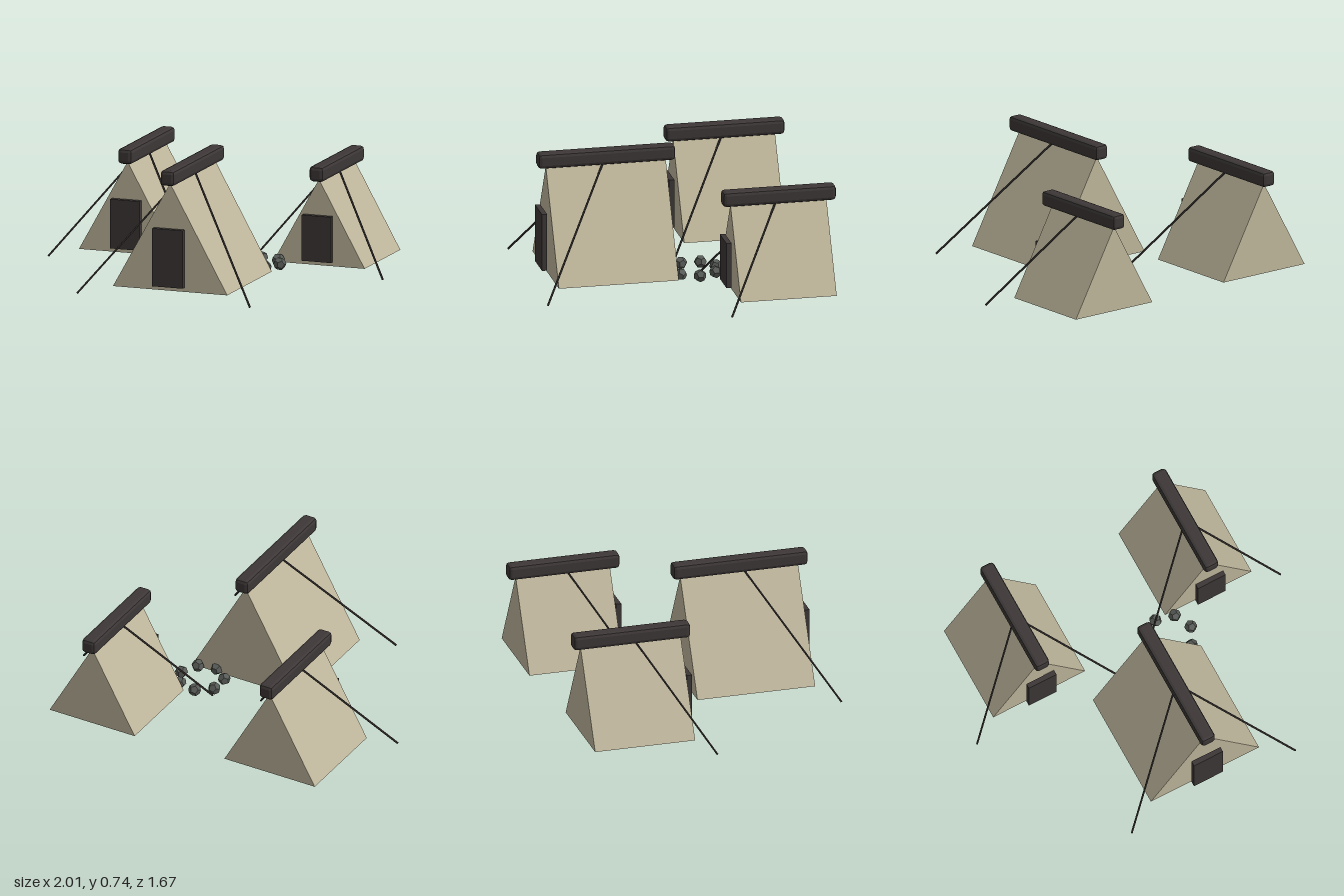
import * as THREE from 'three';
import { RoundedBoxGeometry } from 'three/addons/geometries/RoundedBoxGeometry.js';

const material = (name, color) => {
  const m = new THREE.MeshStandardMaterial({ color, flatShading: true });
  m.name = name;
  return m;
};

export function createModel() {
  const canvas = material('canvas', 0xbfb79c);
  const darkWood = material('dark wood', 0x3d3737);
  const stone = material('stone', 0x575b57);
  const model = new THREE.Group();
  model.name = 'camp';

  const add = (parent, name, geometry, mat, x = 0, y = 0, z = 0) => {
    const mesh = new THREE.Mesh(geometry, mat);
    mesh.name = name;
    mesh.position.set(x, y, z);
    parent.add(mesh);
    return mesh;
  };

  const floor = 0.04;

  function tent(name, x, z, s, doorWidth, doorHeight) {
    const group = new THREE.Group();
    group.name = name;
    group.position.set(x, 0, z);
    model.add(group);

    const half = 0.347 * s;
    const apex = floor + 0.62 * s;
    const ridgeY = apex + 0.037;

    // Closed triangular canvas body
    const shape = new THREE.Shape();
    shape.moveTo(-half, floor);
    shape.lineTo(half, floor);
    shape.lineTo(0, apex);
    shape.closePath();
    const body = new THREE.ExtrudeGeometry(shape, { depth: 2 * half, bevelEnabled: false });
    add(group, 'canvasBody', body, canvas, 0, 0, -half);

    // Chamfered ridge beam
    add(group, 'ridgeBeam', new RoundedBoxGeometry(0.088, 0.088, 2 * half + 0.1, 1, 0.02), darkWood, 0, ridgeY, 0);

    // Door panel standing just ahead of the front wall
    add(group, 'door', new THREE.BoxGeometry(doorWidth, doorHeight, 0.03), darkWood,
      0, 0.067 + doorHeight / 2, half + 0.027);

    // Guy ropes from the beam to the ground
    for (const side of [-1, 1]) {
      const top = new THREE.Vector3(0, ridgeY, 0);
      const end = new THREE.Vector3(side * 0.525 * s, 0.005, 0.45 * s);
      const dir = end.clone().sub(top);
      const mid = top.clone().add(end).multiplyScalar(0.5);
      const rope = add(group, side > 0 ? 'leftRope' : 'rightRope',
        new THREE.CylinderGeometry(0.006, 0.006, dir.length(), 6), darkWood, mid.x, mid.y, mid.z);
      rope.quaternion.setFromUnitVectors(new THREE.Vector3(0, 1, 0), dir.normalize());
    }
  }

  tent('frontTent', 0.043, 0.375, 1, 0.185, 0.335);
  tent('rightTent', -0.555, -0.442, 0.85, 0.177, 0.285);
  tent('leftTent', 0.575, -0.508, 0.8, 0.177, 0.265);

  // Ring of fire stones
  const ring = new THREE.Group();
  ring.name = 'fireRing';
  ring.position.set(0.26, 0.06, -0.095);
  model.add(ring);
  for (let i = 0; i < 7; i++) {
    const a = (i / 7) * Math.PI * 2;
    const rock = add(ring, 'fireStone', new THREE.DodecahedronGeometry(0.037), stone,
      Math.cos(a) * 0.13, 0, Math.sin(a) * 0.13);
    rock.rotation.set(i * 1.3, i * 0.8, i * 0.5);
  }

  return model;
}
